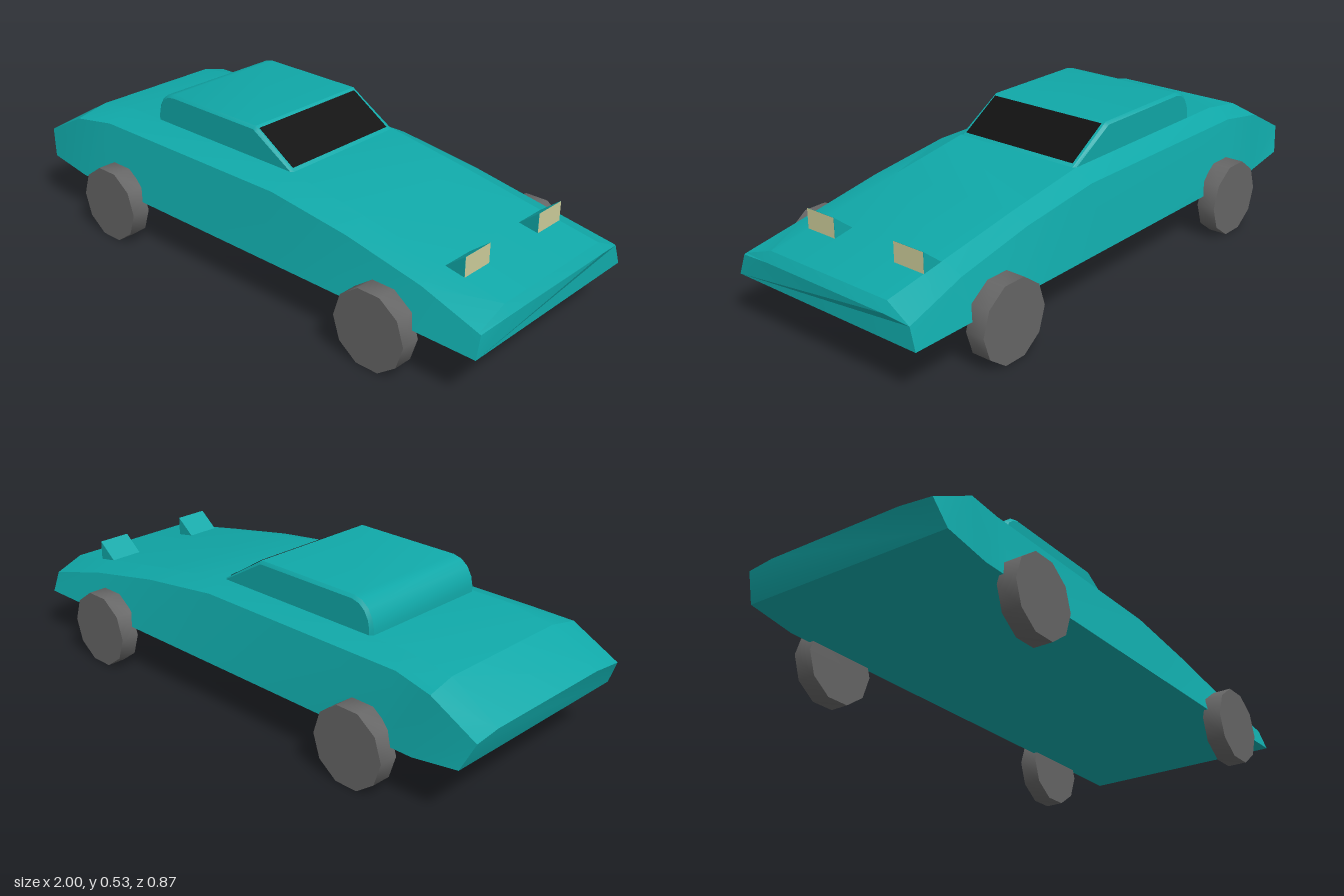
import * as THREE from 'three';
import { toCreasedNormals } from 'three/addons/utils/BufferGeometryUtils.js';

const paint = new THREE.MeshStandardMaterial({ color: 0x10a8a8 });
const glass = new THREE.MeshStandardMaterial({ color: 0x101010 });
const lens = new THREE.MeshStandardMaterial({ color: 0xcccc99 });
const rubber = new THREE.MeshStandardMaterial({ color: 0x666666 });

const MID = -0.013; // the cabin, roofline and lights sit slightly to the right of centre

function add(parent, name, geometry, material) {
  const mesh = new THREE.Mesh(geometry, material);
  mesh.name = name;
  parent.add(mesh);
  return mesh;
}

// Side profile (x, y) extruded across the car, centred on z
function extrudeAcross(points, width, z, bevel = 0) {
  const shape = new THREE.Shape(points.map(([x, y]) => new THREE.Vector2(x, y)));
  const geometry = new THREE.ExtrudeGeometry(shape, {
    depth: width - 2 * bevel, bevelEnabled: bevel > 0, bevelSize: bevel,
    bevelThickness: bevel, bevelOffset: -bevel, bevelSegments: 1,
  });
  return geometry.translate(0, 0, z - width / 2 + bevel);
}

// Body skin lofted from rear to front through six-point sections
function bodyGeometry() {
  // sill x, y | shoulder x, y, half width | top edge x, y
  const stations = [
    [-0.96, 0.19, -1, 0.28, 0.36, -1, 0.292],
    [-0.79, 0.163, -0.83, 0.37, 0.36, -0.83, 0.395],
    [-0.66, 0.163, -0.68, 0.385, 0.335, -0.66, 0.42],
    [0.14, 0.163, 0.14, 0.385, 0.333, 0.14, 0.42],
    [0.45, 0.163, 0.46, 0.345, 0.333, 0.45, 0.372],
    [0.75, 0.163, 0.755, 0.29, 0.338, 0.75, 0.319],
    [0.985, 0.163, 0.98, 0.237, 0.36, 0.978, 0.279],
    [0.992, 0.163, 0.988, 0.234, 0.36, 0.998, 0.247],
  ];
  const position = [], index = [];
  for (const [bx, by, sx, sy, sz, tx, ty] of stations) {
    position.push(
      bx, by, 0.384, sx, sy, sz, tx, ty, MID + 0.251,
      tx, ty, MID - 0.251, sx, sy, -sz, bx, by, -0.384);
  }
  const last = (stations.length - 1) * 6;
  for (let i = 0; i < last; i += 6) {
    for (let j = 0; j < 6; j++) {
      const k = (j + 1) % 6;
      index.push(i + j, i + 6 + j, i + 6 + k, i + j, i + 6 + k, i + k);
    }
  }
  // Tail and nose panels
  for (let j = 1; j < 5; j++) {
    index.push(0, j, j + 1, last, last + j + 1, last + j);
  }
  const geometry = new THREE.BufferGeometry();
  geometry.setAttribute('position', new THREE.Float32BufferAttribute(position, 3));
  geometry.setIndex(index);
  return toCreasedNormals(geometry, 0.3);
}

export function createModel() {
  const car = new THREE.Group();
  car.name = 'car';
  add(car, 'body', bodyGeometry(), paint);

  // Cabin with a rounded back and raked front
  const cabin = [
    [-0.522, 0.405], [0.164, 0.405], [-0.02, 0.521], [-0.035, 0.53], [-0.44, 0.53],
    [-0.472, 0.522], [-0.498, 0.502], [-0.515, 0.472], [-0.522, 0.44],
  ];
  add(car, 'cabin', toCreasedNormals(extrudeAcross(cabin, 0.502, MID, 0.01), 0.5), paint);

  // Windscreen lies on the cabin's front slope
  const screen = [[-0.035, 0.51], [0.11, 0.419], [0.13, 0.429], [-0.022, 0.525]];
  add(car, 'windscreen', extrudeAcross(screen, 0.466, MID + 0.002), glass);

  // Pop-up headlights: wedge housing with a flat lens
  for (const side of [1, -1]) {
    const light = new THREE.Group();
    light.name = side > 0 ? 'leftHeadlight' : 'rightHeadlight';
    light.position.z = MID - 0.002 + side * 0.189;
    const wedge = [[0.755, 0.312], [0.832, 0.295], [0.832, 0.373]];
    add(light, 'headlightHousing', extrudeAcross(wedge, 0.121, 0), paint);
    const face = add(light, 'headlightLens', new THREE.PlaneGeometry(0.121, 0.069), lens);
    face.rotation.y = Math.PI / 2;
    face.position.set(0.833, 0.3385, 0);
    car.add(light);
  }

  // Ten-sided wheels, flat side down
  const wheel = toCreasedNormals(new THREE.CylinderGeometry(0.137, 0.137, 0.068, 10)
    .rotateY(Math.PI / 2).rotateX(Math.PI / 2), 0.8);
  for (const [end, x] of [['front', 0.638], ['rear', -0.583]]) {
    for (const side of [1, -1]) {
      const mesh = add(car, end + (side > 0 ? 'Left' : 'Right') + 'Wheel', wheel, rubber);
      mesh.position.set(x, 0.1303, side * 0.402);
    }
  }
  return car;
}
